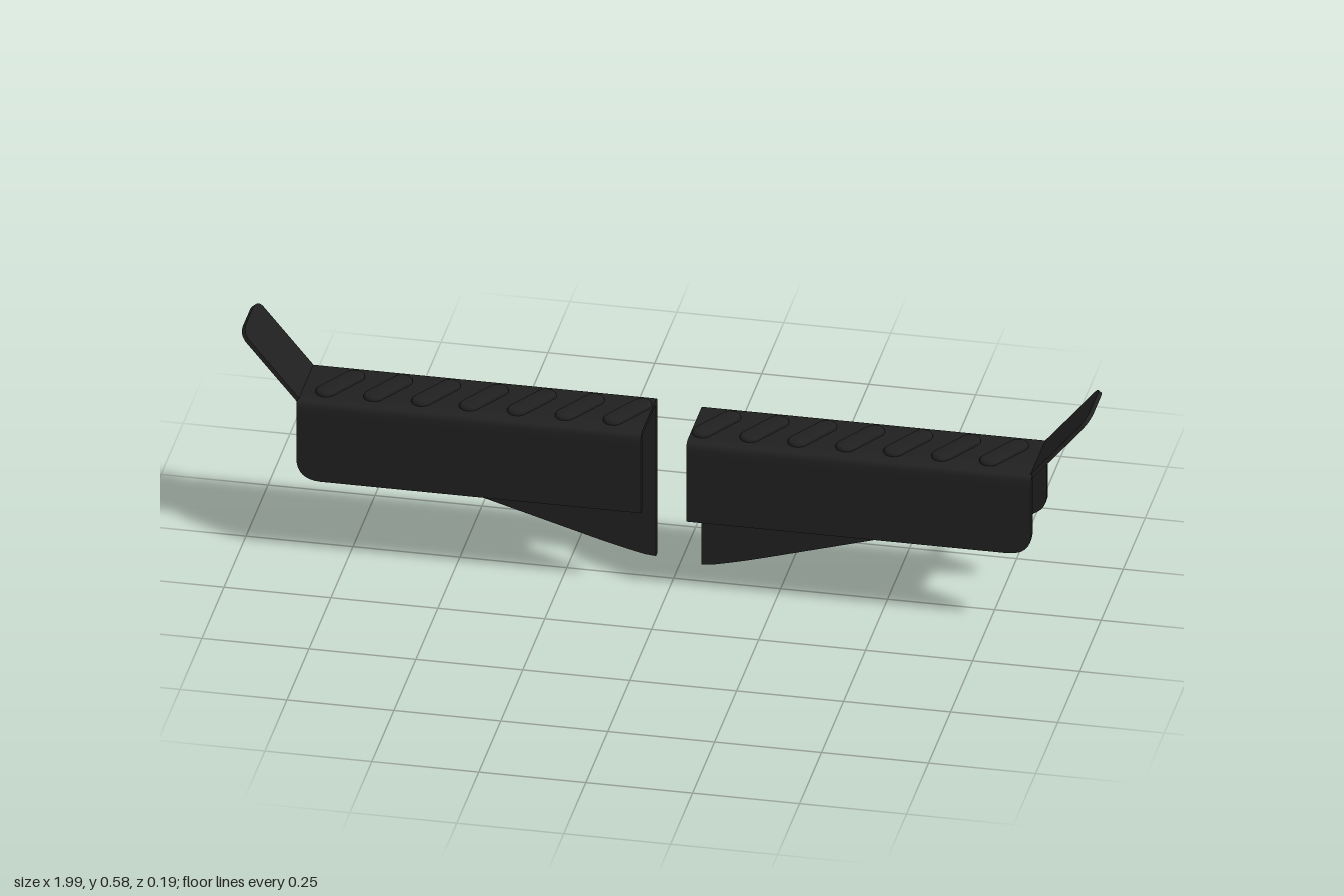
import * as THREE from 'three';
import { toCreasedNormals } from 'three/addons/utils/BufferGeometryUtils.js';

const smooth = (g) => toCreasedNormals(g, 0.6);

// Plate drawn in x/y and extruded along z from z0 by depth
function plate(shape, z0, depth) {
  const g = new THREE.ExtrudeGeometry(shape, { depth, bevelEnabled: false, curveSegments: 8 });
  return smooth(g.translate(0, 0, z0));
}

// Slanted anti-slip rib: a stadium with rounded edges, rising along +y
function ribGeometry() {
  const h = 0.048, r = 0.012;
  const s = new THREE.Shape();
  s.absarc(h, 0, r, -Math.PI / 2, Math.PI / 2, false);
  s.absarc(-h, 0, r, Math.PI / 2, Math.PI * 1.5, false);
  const g = new THREE.ExtrudeGeometry(s, {
    depth: 0.004, bevelThickness: 0.008, bevelSize: 0.012, bevelSegments: 4, curveSegments: 8,
  });
  g.rotateZ(1.03).rotateX(-Math.PI / 2);
  return smooth(g);
}

export function createModel() {
  const model = new THREE.Group();
  const black = new THREE.MeshStandardMaterial({ color: 0x202020 });
  black.name = 'blackMetal';

  const IN = 0.053, OUT = 0.859, TOP = 0.41, Z = 0.094, T = 0.016, JOIN = 0.38;
  const rib = ribGeometry();

  // side = 1 builds the left half, -1 the right half
  function buildHalf(side) {
    const half = new THREE.Group();
    half.name = side > 0 ? 'leftPedal' : 'rightPedal';
    const add = (name, geometry) => {
      const m = new THREE.Mesh(geometry, black);
      m.name = name;
      half.add(m);
      return m;
    };

    // Folded top: an arch section running along x
    const arch = new THREE.Shape();
    arch.moveTo(-Z, JOIN);
    arch.lineTo(-Z, TOP - 0.02);
    arch.quadraticCurveTo(-Z, TOP, -Z + 0.02, TOP);
    arch.lineTo(Z - 0.02, TOP);
    arch.quadraticCurveTo(Z, TOP, Z, TOP - 0.02);
    arch.lineTo(Z, JOIN);
    arch.lineTo(Z - T, JOIN);
    arch.quadraticCurveTo(Z - T, TOP - 0.011, Z - T - 0.02, TOP - 0.011);
    arch.lineTo(-Z + T + 0.02, TOP - 0.011);
    arch.quadraticCurveTo(-Z + T, TOP - 0.011, -Z + T, JOIN);
    const archGeo = new THREE.ExtrudeGeometry(arch, { depth: OUT - IN, bevelEnabled: false, curveSegments: 6 });
    archGeo.translate(0, 0, -(OUT + IN) / 2 - (side < 0 ? 0 : -IN - OUT) - (OUT - IN) / 2);
    archGeo.rotateY(Math.PI / 2);
    add('foldedTop', smooth(archGeo));

    // Short front flange with a rounded outer corner
    const front = new THREE.Shape();
    front.moveTo(side * IN, JOIN);
    front.lineTo(side * IN, 0.204);
    front.lineTo(side * (OUT - 0.055), 0.204);
    front.quadraticCurveTo(side * OUT, 0.206, side * OUT, 0.26);
    front.lineTo(side * OUT, JOIN);
    add('frontFlange', plate(front, Z - T, T));

    // Deep tapering back flange
    const back = new THREE.Shape();
    back.moveTo(side * IN, JOIN);
    back.lineTo(side * IN, 0.001);
    back.lineTo(side * (IN + 0.025), 0.003);
    back.quadraticCurveTo(side * 0.13, 0.014, side * 0.2, 0.034);
    back.lineTo(side * 0.8, 0.208);
    back.quadraticCurveTo(side * OUT, 0.222, side * OUT, 0.265);
    back.lineTo(side * OUT, JOIN);
    add('backFlange', plate(back, -Z, T));

    // Upturned end tab with softly rounded tip
    const L = 0.21, W = 0.082;
    const tab = new THREE.Shape();
    tab.moveTo(0, -W);
    tab.lineTo(L - 0.022, -W);
    tab.quadraticCurveTo(L, -W + 0.006, L, -W + 0.045);
    tab.lineTo(L, W - 0.045);
    tab.quadraticCurveTo(L, W - 0.006, L - 0.022, W);
    tab.lineTo(0, W);
    const tabGeo = plate(tab, -0.005, 0.01);
    const along = new THREE.Vector3(side * 0.136, 0.162, 0).normalize();
    const across = new THREE.Vector3(0, 0, 1);
    const normal = new THREE.Vector3().crossVectors(along, across);
    tabGeo.applyMatrix4(new THREE.Matrix4().makeBasis(along, across, normal));
    tabGeo.translate(side * (OUT - 0.003), TOP - 0.007, 0);
    add('endTab', tabGeo);

    // Row of slanted grip ribs
    for (let i = 0; i < 7; i++) {
      add('gripRib', rib).position.set(side * (0.104 + i * 0.112), TOP - 0.001, 0);
    }

    half.position.set(-0.004, side > 0 ? 0 : 0.01, 0);
    return half;
  }

  model.add(buildHalf(1), buildHalf(-1));
  return model;
}
